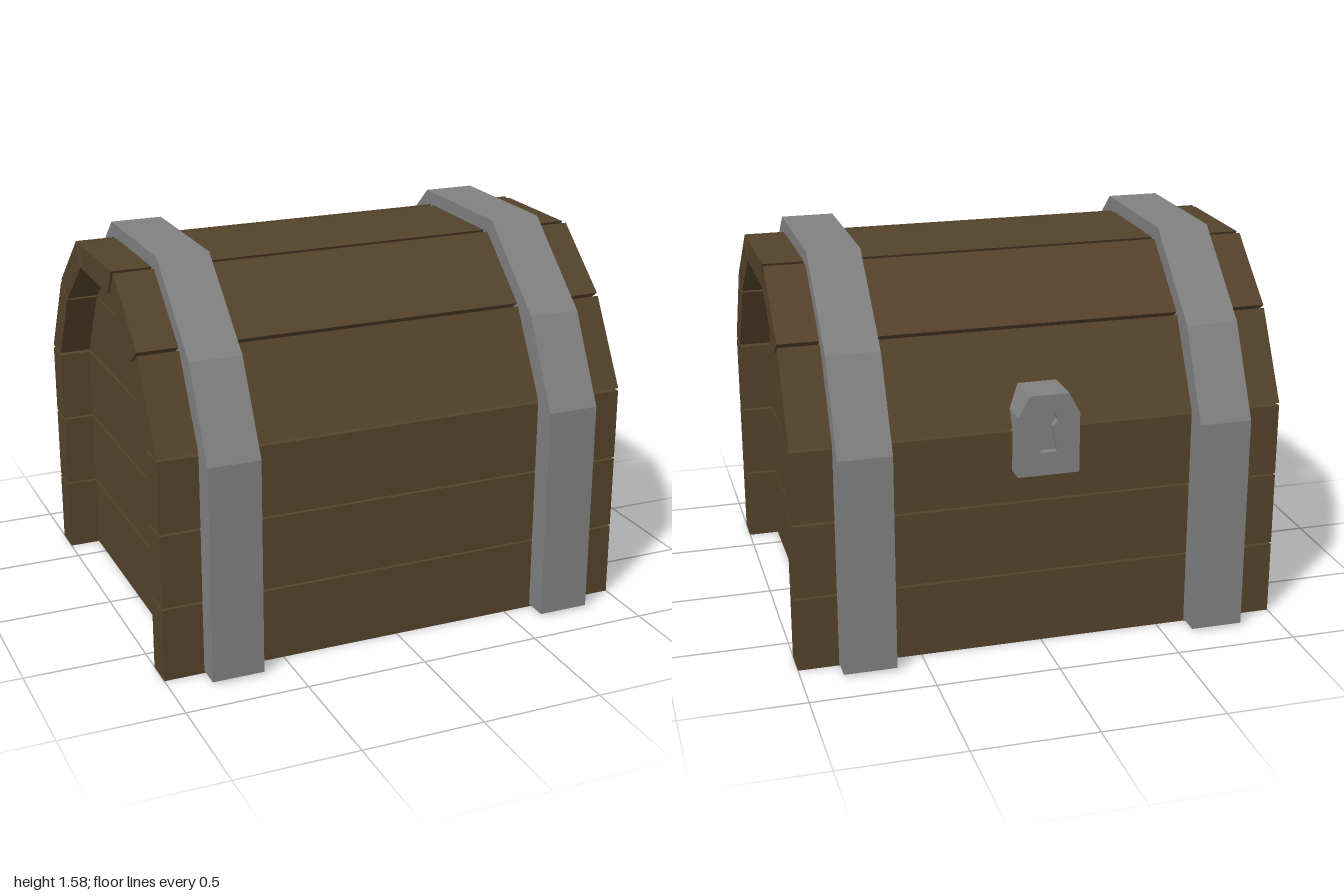
import * as THREE from 'three';

export function createModel() {
  const chest = new THREE.Group();
  chest.name = 'chest';
  const material = (name, color) => {
    const m = new THREE.MeshStandardMaterial({ color });
    m.name = name;
    return m;
  };
  const wood = material('brown wood', 0x54422a);
  const iron = material('grey iron', 0x808080);

  const add = (name, geometry, mat) => {
    const mesh = new THREE.Mesh(geometry, mat);
    mesh.name = name;
    chest.add(mesh);
    return mesh;
  };
  const shapeOf = (points) => new THREE.Shape(points.map(([a, b]) => new THREE.Vector2(a, b)));

  // Prism with a (z, y) outline running from x0 to x1
  const prism = (name, points, x0, x1, mat) => {
    const g = new THREE.ExtrudeGeometry(shapeOf(points), { depth: x1 - x0, bevelEnabled: false });
    g.rotateY(-Math.PI / 2);
    g.translate(x1, 0, 0);
    return add(name, g, mat);
  };
  const mirrored = (half) => [...half, ...half.map(([z, y]) => [-z, y]).reverse()];
  const flipZ = (points, s) => points.map(([z, y]) => [z * s, y]);
  const rect = (z0, z1, y0, y1) => [[z0, y0], [z1, y0], [z1, y1], [z0, y1]];

  // Solid cores behind the plank gaps
  prism('bodyCore', rect(-0.613, 0.613, 0, 0.915), -0.855, 0.855, wood);
  prism('lidCore', mirrored([[0.605, 0.935], [0.445, 1.205], [0.19, 1.41]]), -0.855, 0.855, wood);

  // Body planks: long sides overhang the recessed ends
  for (const [y0, y1] of [[0, 0.304], [0.313, 0.614], [0.623, 0.918]]) {
    for (const s of [-1, 1]) {
      prism('sidePlank', flipZ(rect(0.615, 0.74, y0, y1), s), -1, 1, wood);
      prism('endPlank', rect(-0.615, 0.615, y0, y1), s * 0.863 - 0.008, s * 0.863 + 0.008, wood);
    }
  }

  // Lid planks
  const lowerLid = [[0.74, 0.929], [0.545, 1.274], [0.46, 1.214], [0.615, 0.929]];
  const upperLid = [[0.537, 1.285], [0.263, 1.521], [0.207, 1.422], [0.452, 1.223]];
  for (const s of [-1, 1]) {
    prism('lowerLidPlank', flipZ(lowerLid, s), -1, 1, wood);
    prism('upperLidPlank', flipZ(upperLid, s), -1, 1, wood);
    const x = s * 0.863;
    prism('lidEndLower', mirrored([[0.615, 0.929], [0.46, 1.211]]), x - 0.008, x + 0.008, wood);
    prism('lidEndUpper', mirrored([[0.455, 1.218], [0.2, 1.42]]), x - 0.008, x + 0.008, wood);
  }
  prism('topPlank', mirrored([[0.232, 1.521], [0.182, 1.42]]), -1, 1, wood);

  // Iron straps: uprights on both sides and an arch over the lid
  const arch = [
    ...mirrored([[0.84, 0.905], [0.655, 1.262], [0.302, 1.577]]),
    ...mirrored([[0.585, 0.929], [0.465, 1.2], [0.2, 1.425]]).reverse(),
  ];
  // step the arch feet so the slit under the lid stays open
  arch.splice(6, 0, [-0.74, 0.905], [-0.735, 0.931]);
  arch.push([0.735, 0.931], [0.74, 0.905]);
  for (const s of [-1, 1]) {
    const x0 = s * 0.728 - 0.107, x1 = s * 0.728 + 0.107;
    prism('strapArch', arch, x0, x1, iron);
    for (const t of [-1, 1]) prism('strapUpright', flipZ(rect(0.735, 0.84, 0.01, 0.905), t), x0, x1, iron);
  }

  // Lock on the back, with a recessed keyhole
  const lockOutline = [[-0.125, 0.755], [0.125, 0.755], [0.125, 1.0], [0.08, 1.085], [-0.08, 1.085], [-0.125, 1.0]];
  const lockSlab = (name, shape, z, depth) => {
    const g = new THREE.ExtrudeGeometry(shape, { depth, bevelEnabled: false });
    g.translate(0, 0, z);
    add(name, g, iron);
  };
  const face = shapeOf(lockOutline);
  const hole = [[-0.035, 0.85], [-0.016, 0.95]];
  for (let i = 0; i <= 6; i++) {
    const a = -Math.PI * (0.65 + i * 1.7 / 6);
    hole.push([Math.cos(a) * 0.035, 0.985 + Math.sin(a) * 0.035]);
  }
  hole.push([0.016, 0.95], [0.035, 0.85]);
  face.holes.push(new THREE.Path(hole.map(([x, y]) => new THREE.Vector2(x, y))));
  lockSlab('lockFace', face, -0.82, 0.03);
  lockSlab('lockBody', shapeOf(lockOutline), -0.79, 0.16);

  return chest;
}
